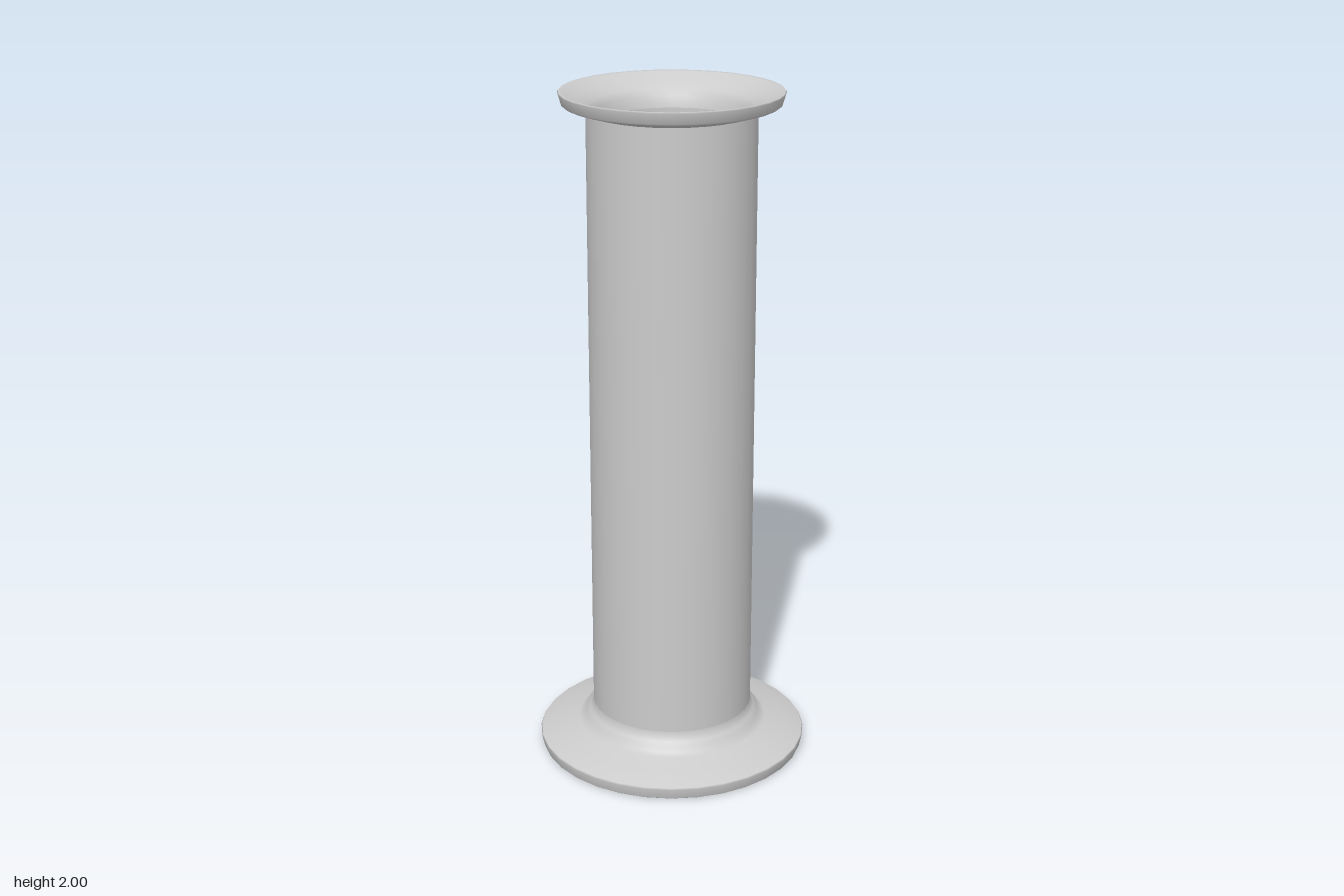
import * as THREE from 'three';

const SIDES = 32;

// Turn a list of [radius, height] points around the y axis.
function turned(name, profile, material) {
  const points = profile.map(([r, y]) => new THREE.Vector2(r, y));
  const mesh = new THREE.Mesh(new THREE.LatheGeometry(points, SIDES), material);
  mesh.name = name;
  return mesh;
}

export function createModel() {
  const group = new THREE.Group();
  group.name = 'flangedTube';
  const material = new THREE.MeshStandardMaterial({ color: 0xcccccc, side: THREE.DoubleSide });

  // Foot: hollowed underside, thin rim, sloping top and a small collar
  group.add(turned('foot', [
    [0, 0.06], [0.2, 0.06], [0.23, 0.055], [0.26, 0.035], [0.32, 0.018], [0.385, 0.003],
    [0.392, 0], [0.396, 0.003], [0.403, 0.033], [0.4, 0.038],
    [0.34, 0.058], [0.285, 0.074], [0.268, 0.082], [0.263, 0.098],
    [0.25, 0.108], [0.242, 0.122], [0.24, 0.135],
  ], material));

  // Straight outer wall
  group.add(turned('tubeWall', [[0.24, 0.135], [0.24, 1.943]], material));

  // Flared lip, running over the rim and down into the bore
  group.add(turned('lip', [
    [0.24, 1.943], [0.25, 1.946], [0.3, 1.961], [0.308, 1.966],
    [0.317, 1.996], [0.314, 2], [0.306, 1.998],
    [0.26, 1.978], [0.23, 1.962], [0.213, 1.942], [0.206, 1.91],
  ], material));

  // Bore with a closed floor
  group.add(turned('bore', [
    [0.206, 1.91], [0.205, 0.13], [0.195, 0.105], [0.17, 0.095], [0, 0.095],
  ], material));

  return group;
}
